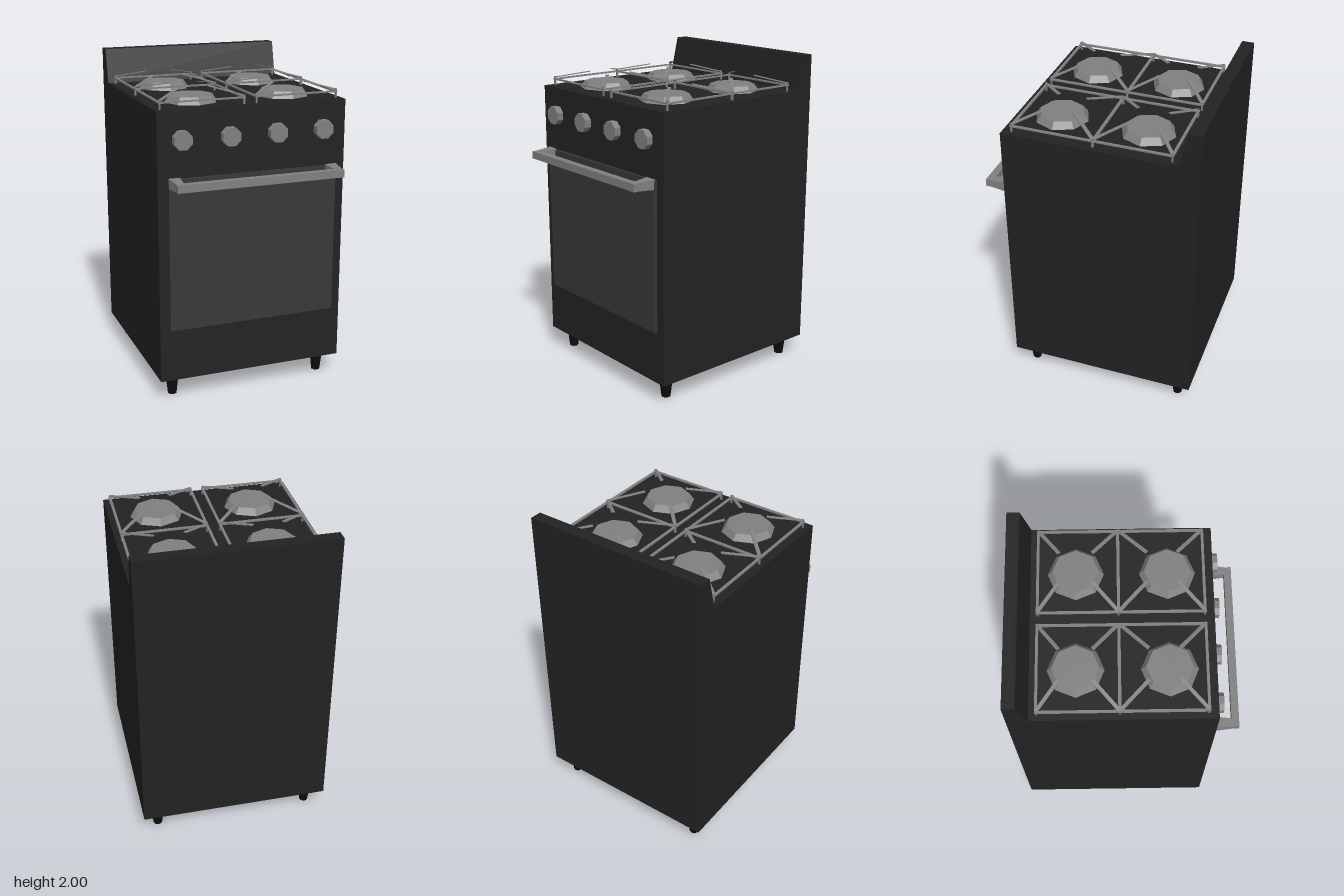
import * as THREE from 'three';

const mat = (color) => new THREE.MeshStandardMaterial({ color, flatShading: true });

export function createModel() {
  const root = new THREE.Group();
  const black = mat(0x222222), glass = mat(0x383838), metal = mat(0x808080), dark = mat(0x0c0c0c);

  const add = (name, geo, material, x = 0, y = 0, z = 0, parent = root) => {
    const mesh = new THREE.Mesh(geo, material);
    mesh.name = name;
    mesh.position.set(x, y, z);
    parent.add(mesh);
    return mesh;
  };
  const box = (name, w, h, d, material, x, y, z, parent) =>
    add(name, new THREE.BoxGeometry(w, h, d), material, x, y, z, parent);

  // Cabinet with sloped backsplash: side profile (z, y) extruded across the width
  const W = 1.18, TOP = 1.785;
  const profile = new THREE.Shape([
    [0.515, 0.13], [0.515, TOP], [-0.545, TOP], [-0.595, 2], [-0.67, 2], [-0.67, 0.13],
  ].map(([z, y]) => new THREE.Vector2(z, y)));
  const cabinet = new THREE.ExtrudeGeometry(profile, { depth: W, bevelEnabled: false });
  cabinet.translate(0, 0, -W / 2).rotateY(-Math.PI / 2);
  add('cabinet', cabinet, black);

  // Oven door
  box('ovenDoor', 1.06, 0.93, 0.03, glass, 0, 0.925, 0.52);

  // Handle: bar on two brackets that narrow towards the front
  const handle = new THREE.Group();
  handle.name = 'doorHandle';
  root.add(handle);
  box('handleBar', 1.04, 0.046, 0.045, metal, 0, 1.368, 0.647, handle);
  for (const s of [-1, 1]) {
    const bracket = new THREE.BoxGeometry(0.07, 0.062, 0.1);
    const p = bracket.attributes.position;
    for (let i = 0; i < p.count; i++) {
      if (p.getZ(i) < 0) continue;
      p.setX(i, p.getX(i) * 0.7);
      p.setY(i, p.getY(i) * 0.76);
    }
    add('handleBracket', bracket, metal, s * 0.495, 1.368, 0.58, handle);
  }

  // Control knobs
  for (const x of [-0.445, -0.15, 0.145, 0.44]) {
    const knob = new THREE.CylinderGeometry(0.059, 0.059, 0.045, 8);
    knob.rotateX(Math.PI / 2).rotateZ(Math.PI / 8);
    add('controlKnob', knob, metal, x, 1.617, 0.535);
  }

  // Tapered feet
  for (const x of [-0.49, 0.49]) for (const z of [0.415, -0.572])
    add('foot', new THREE.CylinderGeometry(0.043, 0.028, 0.13, 8), dark, x, 0.065, z);

  // Pan support: raised frame, corner posts and four prongs rising inwards
  function panSupport(cx, z0, z1, prongZ) {
    const g = new THREE.Group();
    g.name = 'panSupport';
    root.add(g);
    const t = 0.016, hw = 0.257, cz = (z0 + z1) / 2;
    for (const z of [z0, z1]) {
      box('frameBar', 2 * hw + t, 0.009, t, metal, cx, 1.824, z, g);
      for (const s of [-1, 1])
        box('cornerPost', 0.01, 0.057, 0.01, metal, cx + s * hw, 1.812, z, g);
    }
    for (const s of [-1, 1]) {
      box('frameBar', t, 0.009, z1 - z0, metal, cx + s * hw, 1.824, cz, g);
      [z0, z1].forEach((z, i) => {
        const a = new THREE.Vector3(cx + s * hw, 1.836, z);
        const b = new THREE.Vector3(cx + s * 0.092, 1.877, prongZ[i]);
        const prong = box('prong', 0.022, 0.004, a.distanceTo(b), metal, 0, 0, 0, g);
        prong.position.addVectors(a, b).multiplyScalar(0.5);
        prong.lookAt(b);
      });
    }
  }

  // Burners and their supports
  for (const x of [-0.296, 0.296]) {
    for (const z of [-0.282, 0.248])
      add('burnerCap', new THREE.CylinderGeometry(0.135, 0.163, 0.04, 8), metal, x, TOP + 0.02, z);
    panSupport(x, -0.5, -0.037, [-0.375, -0.185]);
    panSupport(x, -0.035, 0.458, [0.13, 0.305]);
  }
  return root;
}
